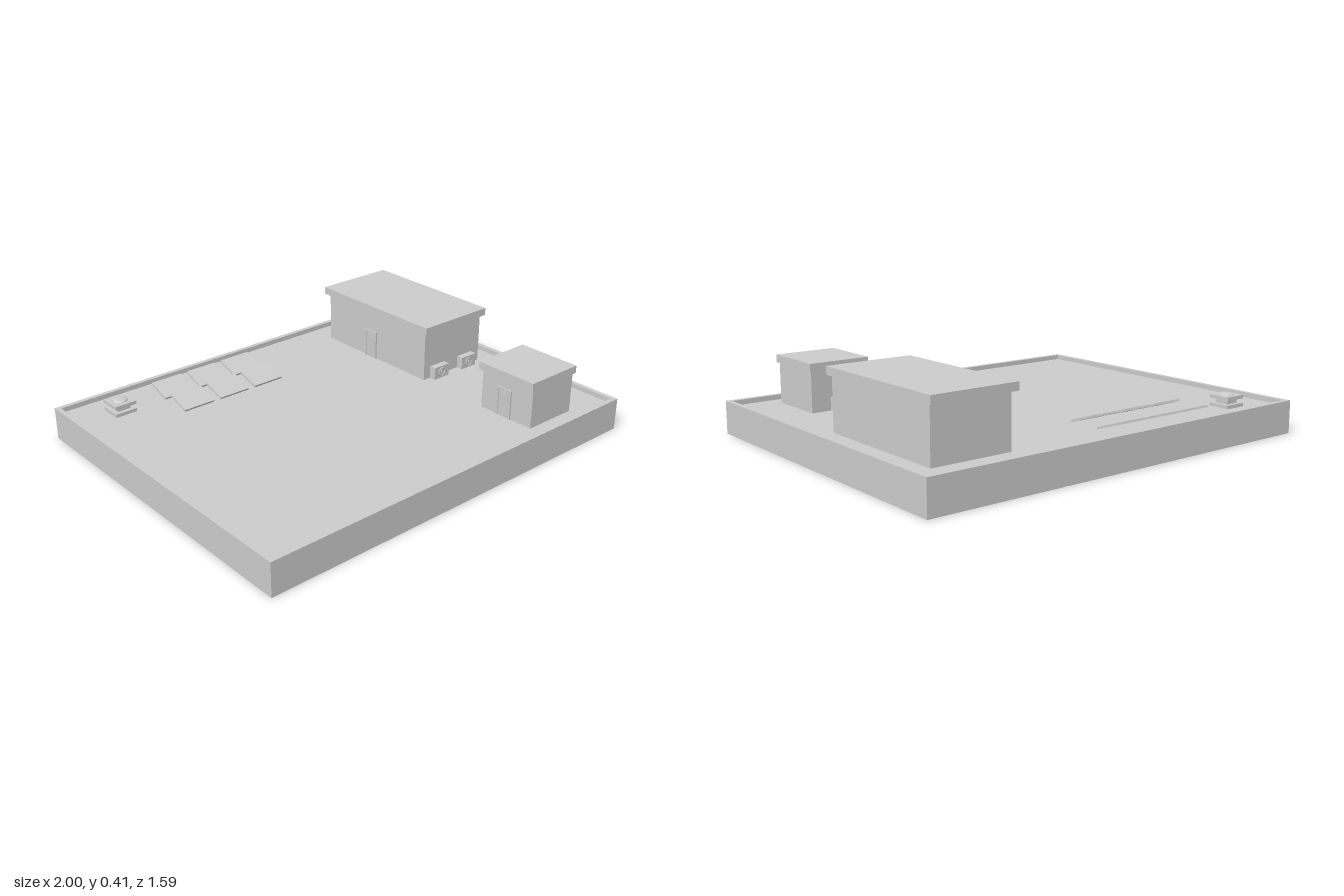
import * as THREE from 'three';

const FLOOR = 0.13;

export function createModel() {
  const group = new THREE.Group();
  group.name = 'rooftop';
  const concrete = new THREE.MeshStandardMaterial({ color: 0xcccccc, side: THREE.DoubleSide });
  concrete.name = 'light grey';

  const add = (parent, name, geometry, x = 0, y = 0, z = 0) => {
    const mesh = new THREE.Mesh(geometry, concrete);
    mesh.name = name;
    mesh.position.set(x, y, z);
    parent.add(mesh);
    return mesh;
  };
  // box given by its limits on each axis
  const block = (parent, name, [x0, x1], [y0, y1], [z0, z1]) =>
    add(parent, name, new THREE.BoxGeometry(x1 - x0, y1 - y0, z1 - z0),
      (x0 + x1) / 2, (y0 + y1) / 2, (z0 + z1) / 2);
  const subgroup = (name, x = 0, y = 0, z = 0) => {
    const g = new THREE.Group();
    g.name = name;
    g.position.set(x, y, z);
    group.add(g);
    return g;
  };

  // open-bottomed shell: outer wall, parapet top, inner parapet face
  const profile = [[0, 0], [0, 0.153], [0.022, 0.153], [0.022, FLOOR]];
  const corner = ([inset, y], i) => {
    const sx = [1, 1, -1, -1][i % 4], sz = [1, -1, -1, 1][i % 4];
    return [sx * (1 - inset), y, sz * (0.797 - inset)];
  };
  const points = [];
  for (let p = 0; p < profile.length - 1; p++) {
    for (let i = 0; i < 4; i++) {
      const a = corner(profile[p], i), b = corner(profile[p], i + 1);
      const c = corner(profile[p + 1], i + 1), d = corner(profile[p + 1], i);
      points.push(...a, ...b, ...c, ...a, ...c, ...d);
    }
  }
  const shell = new THREE.BufferGeometry();
  shell.setAttribute('position', new THREE.Float32BufferAttribute(points, 3));
  shell.computeVertexNormals();
  add(group, 'parapetWalls', shell);
  add(group, 'roofDeck', new THREE.PlaneGeometry(1.956, 1.55).rotateX(-Math.PI / 2), 0, FLOOR, 0);

  // rooftop rooms: walls, overhanging roof slab and a door on the -x side
  const room = (name, wx, wz, rx, rz, top, doorZ) => {
    const g = subgroup(name);
    block(g, 'walls', wx, [FLOOR, top], wz);
    block(g, 'roofSlab', rx, [top, top + 0.036], rz);
    const x = wx[0], w = 0.04;
    block(g, 'doorLeaf', [x - 0.003, x + 0.002], [FLOOR, 0.262], [doorZ - w + 0.008, doorZ + w - 0.008]);
    for (const s of [-1, 1]) {
      const z = doorZ + s * (w - 0.004);
      block(g, 'doorJamb', [x - 0.007, x + 0.002], [FLOOR, 0.27], [z - 0.004, z + 0.004]);
    }
    block(g, 'doorHead', [x - 0.007, x + 0.002], [0.262, 0.27], [doorZ - w + 0.008, doorZ + w - 0.008]);
    block(g, 'doorPanel', [x - 0.005, x], [0.205, 0.25], [doorZ - 0.02, doorZ + 0.02]);
    block(g, 'doorHandle', [x - 0.007, x], [0.188, 0.194], [doorZ + 0.014, doorZ + 0.026]);
  };
  room('largeRoom', [0.505, 0.88], [-0.648, 0.04], [0.49, 0.895], [-0.675, 0.06], 0.37, -0.335);
  room('smallRoom', [0.505, 0.772], [0.412, 0.702], [0.49, 0.783], [0.398, 0.71], 0.318, 0.545);

  // air conditioners, each with a fan ring and hub
  const airUnit = (x, z, turn) => {
    const g = subgroup('airConditioner', x, FLOOR, z);
    g.rotation.y = turn;
    block(g, 'casing', [-0.047, 0.047], [-0.002, 0.06], [0, 0.033]);
    add(g, 'fanRing', new THREE.TorusGeometry(0.02, 0.003, 6, 20), 0, 0.03, 0.034);
    add(g, 'fanHub', new THREE.CylinderGeometry(0.007, 0.007, 0.006, 12).rotateX(Math.PI / 2), 0, 0.03, 0.034);
  };
  airUnit(0.593, 0.04, 0);
  airUnit(0.78, 0.04, 0);
  airUnit(0.632, 0.412, Math.PI);

  // two rows of tilted solar panels
  for (const z of [-0.642, -0.478]) {
    for (const x of [-0.471, -0.275, -0.079]) {
      add(group, 'solarPanel', new THREE.BoxGeometry(0.16, 0.01, 0.119), x, 0.153, z).rotation.x = 0.32;
    }
  }

  // square roof vent with a flange, neck, cap and low dome
  const vent = subgroup('roofVent', -0.764, 0, -0.623);
  const square = (name, half, y0, y1) => block(vent, name, [-half, half], [y0, y1], [-half, half]);
  square('flange', 0.053, FLOOR, 0.146);
  square('neck', 0.033, 0.146, 0.167);
  square('cap', 0.053, 0.167, 0.183);
  const dome = new THREE.SphereGeometry(0.034, 24, 8, 0, Math.PI * 2, 0, Math.PI / 2);
  add(vent, 'dome', dome.scale(1, 0.3, 1), 0, 0.183, 0);

  return group;
}
